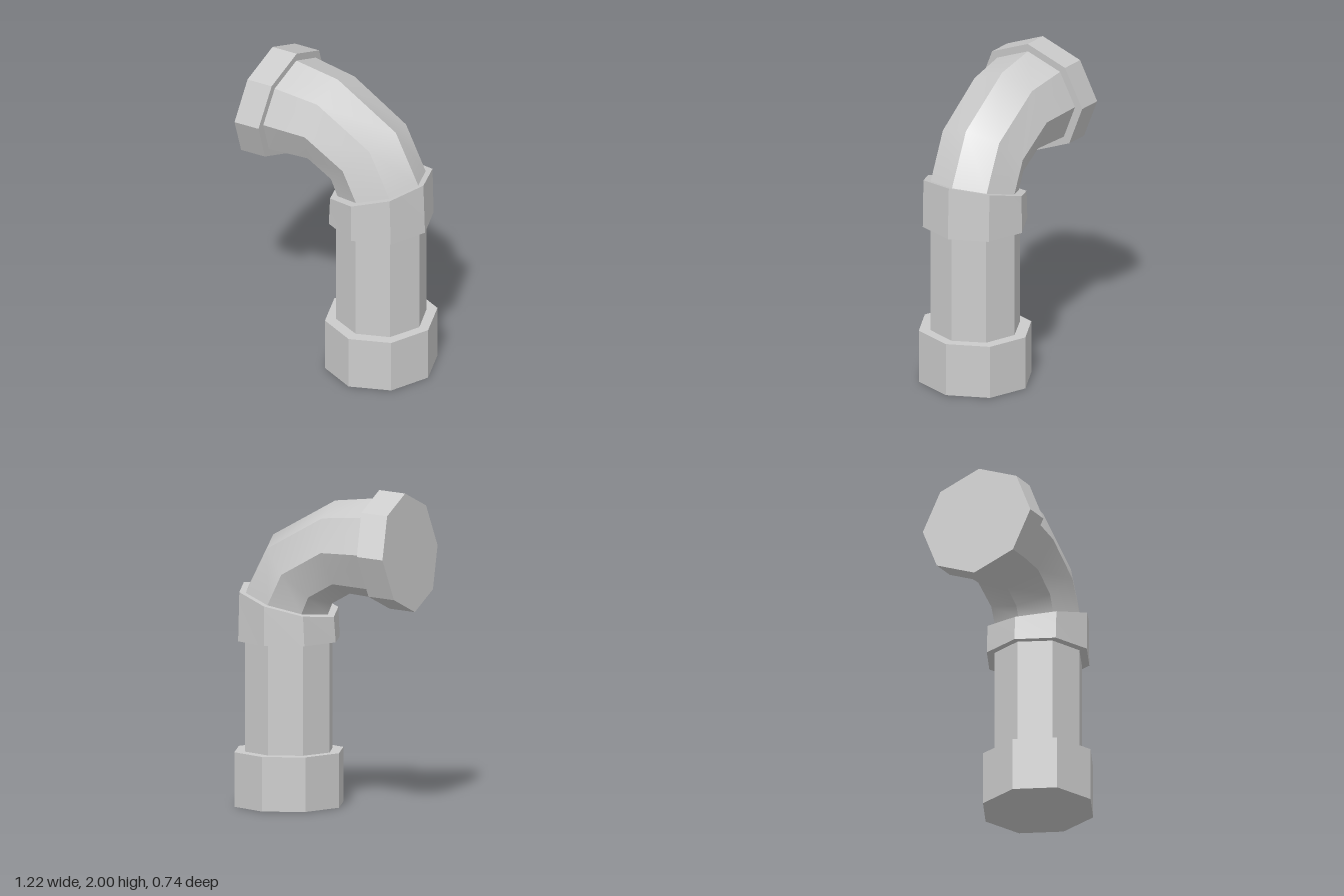
import * as THREE from 'three';

const SIDES = 8;
const material = new THREE.MeshStandardMaterial({ color: 0xcccccc });

// A ring runs from its inner edge (x0, y0) to its outer edge (x1, y1), with half depth rz.
const ring = (x0, y0, x1, y1, rz) => ({ x0, y0, x1, y1, rz });
const level = (y, rx, rz) => ring(0.262 - rx, y, 0.262 + rx, y, rz);

function ringPoint(r, i) {
  const a = (i / SIDES) * Math.PI * 2;
  const c = Math.cos(a) / 2;
  return [
    (r.x0 + r.x1) / 2 + (r.x1 - r.x0) * c,
    (r.y0 + r.y1) / 2 + (r.y1 - r.y0) * c,
    r.rz * Math.sin(a),
  ];
}

// Capped octagonal loft: smooth along its length, sharp between its sides.
function loft(name, rings) {
  const positions = [];
  const index = [];
  const add = (p) => positions.push(...p) / 3 - 1;

  for (let i = 0; i < SIDES; i++) {
    const strip = rings.map((r) => [add(ringPoint(r, i)), add(ringPoint(r, i + 1))]);
    for (let k = 0; k < strip.length - 1; k++) {
      const [a, b] = strip[k];
      const [c, d] = strip[k + 1];
      index.push(a, c, d, a, d, b);
    }
  }

  // End caps
  [rings[0], rings[rings.length - 1]].forEach((r, end) => {
    const centre = add([(r.x0 + r.x1) / 2, (r.y0 + r.y1) / 2, 0]);
    const rim = [];
    for (let i = 0; i < SIDES; i++) rim.push(add(ringPoint(r, i)));
    for (let i = 0; i < SIDES; i++) {
      const a = rim[i];
      const b = rim[(i + 1) % SIDES];
      if (end === 0) index.push(centre, a, b);
      else index.push(centre, b, a);
    }
  });

  const geometry = new THREE.BufferGeometry();
  geometry.setAttribute('position', new THREE.Float32BufferAttribute(positions, 3));
  geometry.setIndex(index);
  geometry.computeVertexNormals();
  const mesh = new THREE.Mesh(geometry, material);
  mesh.name = name;
  return mesh;
}

export function createModel() {
  const group = new THREE.Group();
  group.name = 'bentPipe';

  group.add(
    // Upright section
    loft('baseCollar', [level(0, 0.348, 0.363), level(0.34, 0.348, 0.363)]),
    loft('uprightPipe', [level(0.3, 0.283, 0.285), level(1.06, 0.283, 0.285)]),
    // Collar with a slanted top
    loft('middleCollar', [level(1.03, 0.325, 0.337), ring(-0.05, 1.188, 0.575, 1.363, 0.337)]),
    // Elbow widening towards the mouth
    loft('elbow', [
      ring(-0.008, 1.2, 0.537, 1.352, 0.285),
      ring(-0.035, 1.27, 0.37, 1.675, 0.287),
      ring(-0.16, 1.34, -0.06, 1.915, 0.293),
      ring(-0.432, 1.318, -0.368, 1.95, 0.32),
    ]),
    // Mouth flange
    loft('mouthFlange', [
      ring(-0.436, 1.265, -0.365, 2.0, 0.372),
      ring(-0.612, 1.255, -0.545, 1.99, 0.372),
    ]),
  );
  return group;
}
